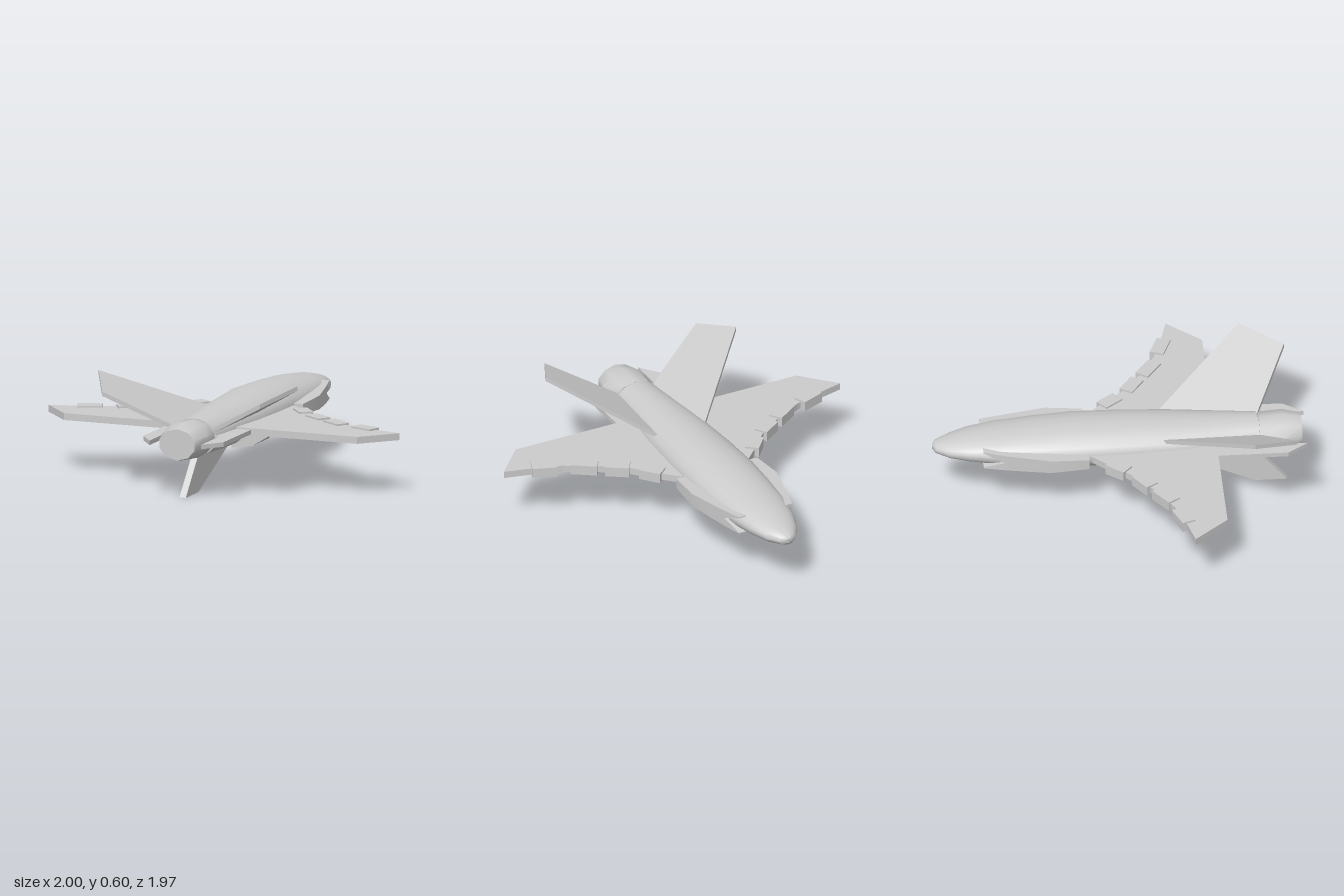
import * as THREE from 'three';
import { toCreasedNormals } from 'three/addons/utils/BufferGeometryUtils.js';

const grey = new THREE.MeshStandardMaterial({ color: 0xcccccc, side: THREE.DoubleSide });

// Closed skin through equal-length rings of [x, y, z] points, capped at both ends
function loft(rings, crease = 0.6) {
  const n = rings[0].length;
  const pos = rings.flat(2);
  const idx = [];
  for (let i = 0; i < rings.length - 1; i++) {
    for (let j = 0; j < n; j++) {
      const a = i * n + j, b = i * n + (j + 1) % n;
      idx.push(a, b, a + n, b, b + n, a + n);
    }
  }
  const last = (rings.length - 1) * n;
  for (let j = 1; j < n - 1; j++) idx.push(0, j + 1, j, last, last + j, last + j + 1);
  // turn the faces outward when the signed volume is negative
  const p = (i) => new THREE.Vector3().fromArray(pos, i * 3);
  let volume = 0;
  for (let i = 0; i < idx.length; i += 3) {
    volume += p(idx[i]).dot(p(idx[i + 1]).cross(p(idx[i + 2])));
  }
  if (volume < 0) idx.reverse();
  const geo = new THREE.BufferGeometry();
  geo.setAttribute('position', new THREE.Float32BufferAttribute(pos, 3));
  geo.setIndex(idx);
  return toCreasedNormals(geo, crease);
}

// Elliptical ring at z, half width w, between heights bottom and top
function oval(z, w, bottom, top, n) {
  return Array.from({ length: n }, (_, i) => {
    const a = (i + 0.5) / n * Math.PI * 2;
    return [Math.cos(a) * w, (top + bottom) / 2 + Math.sin(a) * (top - bottom) / 2, z];
  });
}

// Flat plate from an (x, z) outline, between heights bottom and top
function plate(outline, bottom, top) {
  const shape = new THREE.Shape(outline.map(([x, z]) => new THREE.Vector2(x, z)));
  return new THREE.ExtrudeGeometry(shape, { depth: top - bottom, bevelEnabled: false })
    .rotateX(Math.PI / 2).translate(0, top, 0);
}

export function createModel() {
  const model = new THREE.Group();
  const add = (name, geo) => {
    const mesh = new THREE.Mesh(geo, grey);
    mesh.name = name;
    model.add(mesh);
  };

  // Fuselage: z, half width, bottom, top
  add('fuselage', loft([
    [-0.99, 0.015, 0.285, 0.31], [-0.975, 0.045, 0.268, 0.325], [-0.9, 0.097, 0.25, 0.345],
    [-0.8, 0.135, 0.238, 0.368], [-0.65, 0.168, 0.222, 0.388], [-0.45, 0.185, 0.205, 0.406],
    [-0.25, 0.195, 0.19, 0.419], [0, 0.19, 0.188, 0.419], [0.25, 0.178, 0.188, 0.412],
    [0.5, 0.15, 0.19, 0.403], [0.72, 0.125, 0.196, 0.395],
  ].map(([z, w, b, t]) => oval(z, w, b, t, 20))));

  // Exhaust nozzle, with a narrow neck behind the fuselage
  add('nozzleNeck', loft([oval(0.7, 0.11, 0.21, 0.38, 10), oval(0.75, 0.11, 0.21, 0.38, 10)]));
  add('nozzle', loft([
    [0.73, 0.125, 0.2, 0.392], [0.86, 0.132, 0.197, 0.4], [0.955, 0.104, 0.212, 0.38],
  ].map(([z, w, b, t]) => oval(z, w, b, t, 10)), 0.8));

  // Blister under the nose
  add('bellyBlister', loft([
    [-0.76, 0.015, 0.225], [-0.68, 0.05, 0.195], [-0.58, 0.075, 0.168], [-0.48, 0.085, 0.153],
    [-0.4, 0.085, 0.145], [-0.32, 0.07, 0.158], [-0.26, 0.04, 0.176], [-0.2, 0.01, 0.195],
  ].map(([z, w, b]) => oval(z, w, b, 0.29, 14))));

  // Ventral fin
  const fin = new THREE.Shape([[0.26, 0.2], [0.71, 0.2], [0.88, 0], [0.71, 0]]
    .map(([z, y]) => new THREE.Vector2(z, y)));
  add('ventralFin', new THREE.ExtrudeGeometry(fin, { depth: 0.036, bevelEnabled: false })
    .rotateY(-Math.PI / 2).translate(0.018, 0, 0));

  for (const [s, side] of [[1, 'left'], [-1, 'right']]) {
    const flat = (outline, b, t) => plate(outline.map(([x, z]) => [x * s, z]), b, t);
    // four-cornered rings: z, inner x, outer x, bottom, top
    const beam = (rows) => loft(rows.map(([z, xi, xo, b, t]) =>
      [[xi * s, b, z], [xo * s, b, z], [xo * s, t, z], [xi * s, t, z]]), 0.3);

    // Main wing
    add(side + 'Wing', flat([
      [0.1, -0.17], [0.2, -0.16], [0.3, -0.06], [0.395, 0.045], [0.535, 0.145],
      [0.7, 0.235], [0.86, 0.285], [1, 0.32], [0.835, 0.5], [0.1, 0.5],
    ], 0.283, 0.32));

    // Leading edge slats
    [[0.295, -0.1, 0.37, -0.01], [0.41, 0.03, 0.515, 0.1], [0.55, 0.125, 0.665, 0.205],
      [0.735, 0.215, 0.86, 0.262]].forEach(([x1, z1, x2, z2], i) => {
      const k = 0.075 / Math.hypot(x2 - x1, z2 - z1);
      const dx = -(z2 - z1) * k, dz = (x2 - x1) * k;
      add(side + 'Slat' + (i + 1), flat(
        [[x1, z1], [x2, z2], [x2 + dx, z2 + dz], [x1 + dx, z1 + dz]], 0.275, 0.329));
    });

    // Shoulder strake with a forked front
    add(side + 'Strake', beam([
      [-0.18, 0.12, 0.24, 0.272, 0.328], [-0.38, 0.12, 0.25, 0.264, 0.338],
      [-0.54, 0.12, 0.21, 0.257, 0.342], [-0.62, 0.1, 0.19, 0.254, 0.344],
    ]));
    add(side + 'StrakeUpperProng', beam([
      [-0.62, 0.1, 0.19, 0.3, 0.344], [-0.73, 0.1, 0.158, 0.344, 0.35]]));
    add(side + 'StrakeLowerProng', beam([
      [-0.62, 0.1, 0.19, 0.254, 0.3], [-0.73, 0.1, 0.158, 0.25, 0.256]]));

    // Slanted tail fin: a plate sheared upward with distance from the centre
    const tail = flat([[0.11, 0.22], [0.145, 0.22], [0.567, 0.67], [0.45, 0.9], [0.1, 0.73]],
      0.343, 0.367);
    const p = tail.attributes.position;
    for (let i = 0; i < p.count; i++) p.setY(i, p.getY(i) + 0.55 * (Math.abs(p.getX(i)) - 0.14));
    tail.computeVertexNormals();
    add(side + 'TailFin', tail);

    // Boom running back from the wing
    add(side + 'TailBoom', flat(
      [[0.1, 0.45], [0.23, 0.45], [0.228, 0.87], [0.147, 0.98], [0.147, 0.74], [0.1, 0.72]],
      0.288, 0.312));

    // Fairing under the wing root, flat at the rear
    add(side + 'WingRootFairing', loft([[0, 0.14, 0.16], [0.2, 0.2, 0.28], [0.41, 0.2, 0.3]]
      .map(([z, xm, xo]) => [[0.08, 0.188], [xm, 0.208], [xo, z ? 0.27 : 0.24], [xo, 0.29],
        [0.08, 0.29]].map(([x, y]) => [x * s, y, z])), 0.3));
  }
  return model;
}
